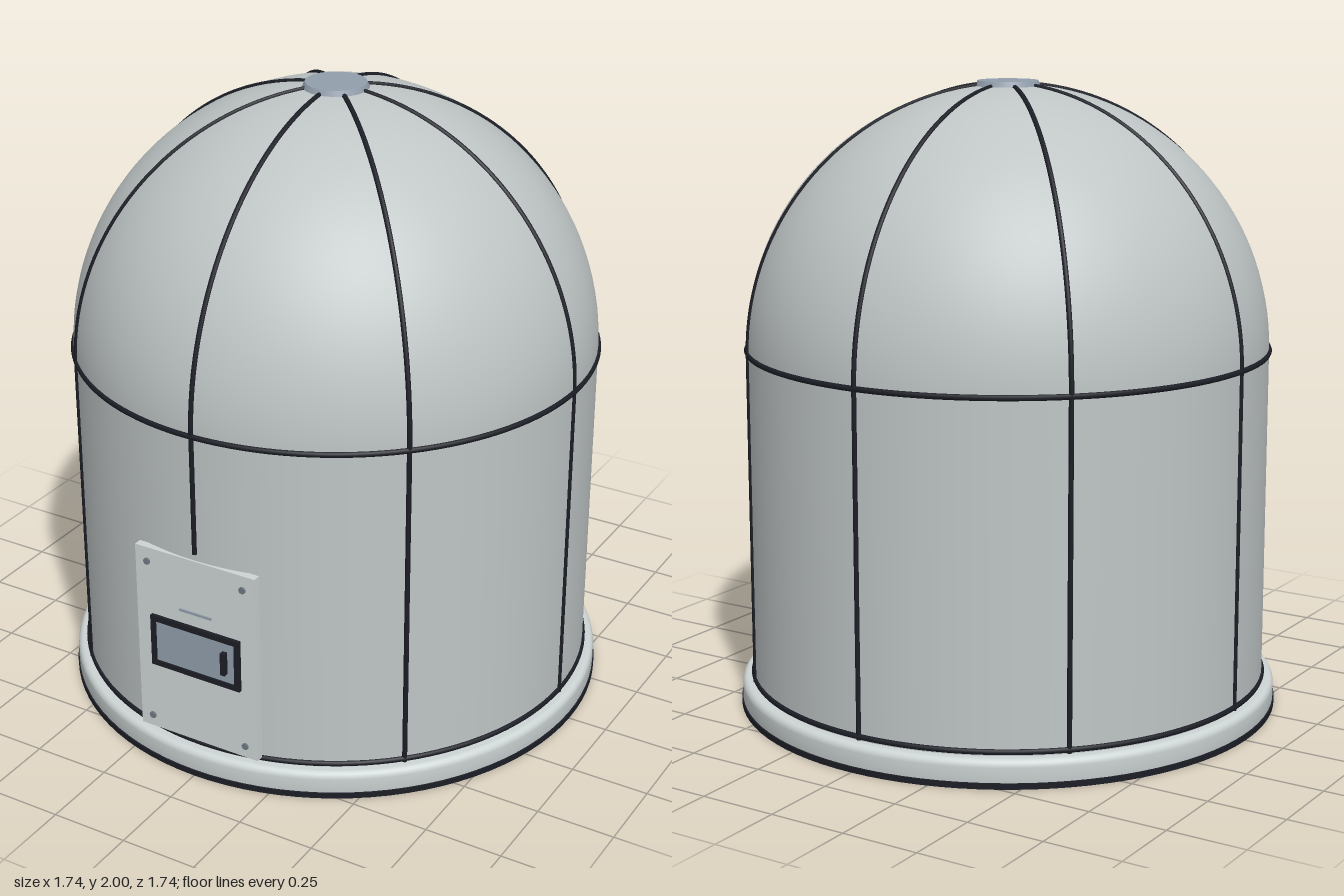
import * as THREE from 'three';

const mat = (name, color, side = THREE.FrontSide) => {
  const m = new THREE.MeshStandardMaterial({ color, side });
  m.name = name;
  return m;
};

export function createModel() {
  const group = new THREE.Group();
  const shellGrey = mat('shellGrey', 0xbfc5c5, THREE.DoubleSide);
  const paleGrey = mat('paleGrey', 0xcdd4d4);
  const seamBlack = mat('seamBlack', 0x1c1e26);
  const steelBlue = mat('steelBlue', 0x929eac);
  const boltGrey = mat('boltGrey', 0x707a82);

  const add = (name, geometry, material, x = 0, y = 0, z = 0, parent = group) => {
    const m = new THREE.Mesh(geometry, material);
    m.name = name;
    m.position.set(x, y, z);
    parent.add(m);
    return m;
  };
  const v = (x, y) => new THREE.Vector2(x, y);

  const R = 0.83, springY = 1.16, wallY = 0.08;

  // Open shell: straight wall and hemispherical roof
  add('wall', new THREE.CylinderGeometry(R, R, springY - wallY, 96, 1, true), shellGrey, 0, (springY + wallY) / 2);
  add('dome', new THREE.SphereGeometry(R, 96, 32, 0, Math.PI * 2, 0, Math.PI / 2), shellGrey, 0, springY);

  // Base ring with a rounded upper lip; corners doubled to stay crisp
  const base = [v(0.8, 0.088), v(0.8, 0.088), v(0.8, 0.008), v(0.8, 0.008), v(0.86, 0.008), v(0.86, 0.008),
    v(0.868, 0.02), v(0.868, 0.065)];
  for (let i = 1; i <= 6; i++) {
    const a = (i / 6) * Math.PI / 2;
    base.push(v(0.848 + 0.02 * Math.cos(a), 0.065 + 0.023 * Math.sin(a)));
  }
  base.push(v(0.8, 0.088));
  add('baseRing', new THREE.LatheGeometry(base, 96), paleGrey);
  add('baseGasket', new THREE.LatheGeometry(
    [v(0.825, 0.02), v(0.825, 0), v(0.825, 0), v(0.872, 0), v(0.872, 0), v(0.872, 0.018), v(0.872, 0.018), v(0.825, 0.02)],
    96), seamBlack);

  // Horizontal seams
  for (const [name, y] of [['springSeam', springY], ['footSeam', 0.1]]) {
    const seam = add(name, new THREE.TorusGeometry(R, 0.009, 8, 128), seamBlack, 0, y);
    seam.rotation.x = Math.PI / 2;
  }

  // Eight meridian ribs; the front wall rib stops above the panel
  const ribs = new THREE.Group();
  ribs.name = 'ribs';
  group.add(ribs);
  for (let i = 0; i < 8; i++) {
    const rib = new THREE.Group();
    rib.name = 'rib';
    rib.rotation.y = i * Math.PI / 4;
    const low = i === 0 ? 0.77 : 0.09;
    add('wallRib', new THREE.CylinderGeometry(0.008, 0.008, springY - low, 8), seamBlack, 0, (springY + low) / 2, R, rib);
    const arc = add('domeRib', new THREE.TorusGeometry(R, 0.008, 8, 48, Math.PI / 2), seamBlack, 0, springY, 0, rib);
    arc.rotation.y = -Math.PI / 2;
    ribs.add(rib);
  }

  // Crown cap
  add('crownCap', new THREE.CylinderGeometry(0.095, 0.105, 0.022, 48), steelBlue, 0, 1.989);

  // Flat access panel at the front
  const panel = new THREE.Group();
  panel.name = 'accessPanel';
  group.add(panel);
  const box = (name, material, x, y, z, w, h, d) =>
    add(name, new THREE.BoxGeometry(w, h, d), material, x, y, z, panel);
  box('panelPlate', paleGrey, 0, 0.427, 0.823, 0.425, 0.64, 0.026);
  box('slot', steelBlue, 0, 0.565, 0.837, 0.115, 0.008, 0.006);

  // Hatch frame, hatch plate and handle
  for (const s of [-1, 1]) {
    box('frameSide', seamBlack, s * 0.15, 0.432, 0.84, 0.018, 0.175, 0.016);
    box('frameRail', seamBlack, 0, 0.432 + s * 0.0785, 0.84, 0.318, 0.018, 0.016);
  }
  box('hatchPlate', steelBlue, 0, 0.432, 0.838, 0.29, 0.145, 0.01);
  box('hatchHandle', seamBlack, 0.107, 0.432, 0.85, 0.016, 0.076, 0.02);

  // Corner bolts
  for (const x of [-0.17, 0.17]) for (const y of [0.148, 0.7]) {
    const bolt = add('bolt', new THREE.CylinderGeometry(0.011, 0.011, 0.008, 16), boltGrey, x, y, 0.838, panel);
    bolt.rotation.x = Math.PI / 2;
  }
  return group;
}
